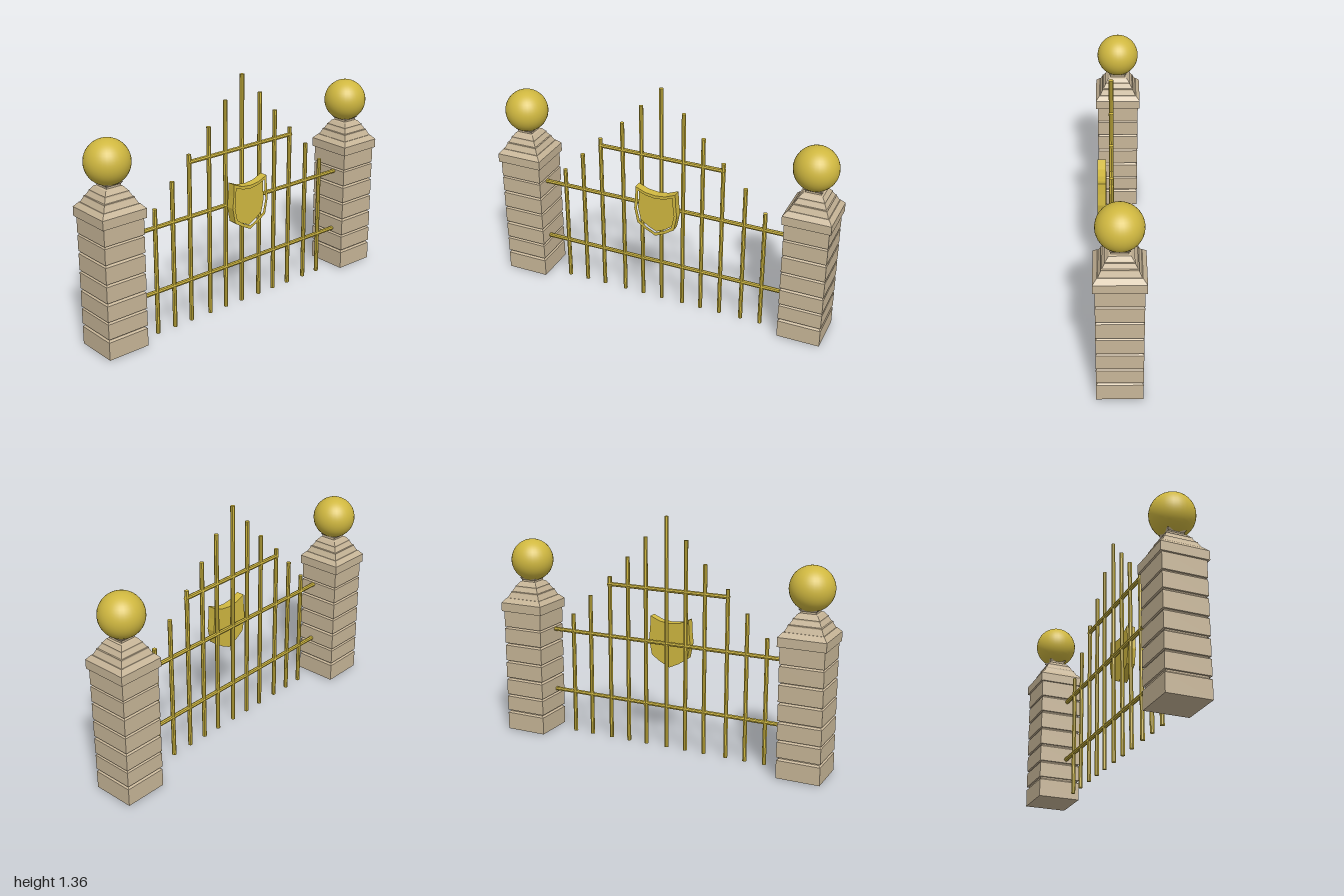
import * as THREE from 'three';

const stone = new THREE.MeshStandardMaterial({ color: 0xc8b698, flatShading: true });
const gold = new THREE.MeshStandardMaterial({ color: 0xd0b840 });
const goldFlat = new THREE.MeshStandardMaterial({ color: 0xd0b840, flatShading: true });

const GATE_Z = 0.04;
const BAR_RADIUS = 0.0125;

function addMesh(parent, name, geometry, material, x = 0, y = 0, z = 0) {
  const mesh = new THREE.Mesh(geometry, material);
  mesh.name = name;
  mesh.position.set(x, y, z);
  parent.add(mesh);
  return mesh;
}

// Square tower from [half width, height] pairs, turned in four segments
function squareLathe(profile) {
  const points = profile.map(([h, y]) => new THREE.Vector2(h * Math.SQRT2, y));
  return new THREE.LatheGeometry(points, 4, Math.PI / 4);
}

function createPillar(name, x, ballX) {
  const pillar = new THREE.Group();
  pillar.name = name;

  // Stacked blocks, each with a bevelled top edge and a shallow joint
  const profile = [[0, 0.005], [0.124, 0.005]];
  for (const [top, next] of [[0.108, 0.126], [0.213, 0.227], [0.318, 0.334],
    [0.426, 0.44], [0.534, 0.549], [0.638, 0.65]]) {
    profile.push([0.124, top], [0.113, top + 0.009], [0.113, next], [0.124, next]);
  }
  profile.push([0.124, 0.747], [0, 0.747]);
  addMesh(pillar, 'pillarBlocks', squareLathe(profile), stone, x);

  // Overhanging stepped cap
  const cap = [[0, 0.745], [0.135, 0.745], [0.135, 0.797], [0.112, 0.823],
    [0.108, 0.823], [0.094, 0.852], [0.094, 0.859], [0.088, 0.861], [0.074, 0.885],
    [0.074, 0.892], [0.07, 0.894], [0.055, 0.914], [0.044, 0.918], [0.044, 0.928],
    [0.053, 0.94], [0, 0.94]];
  addMesh(pillar, 'pillarCap', squareLathe(cap), stone, x);

  addMesh(pillar, 'ballFinial', new THREE.SphereGeometry(0.123, 32, 24), gold, ballX, 1.045, 0);
  return pillar;
}

function createGate() {
  const gate = new THREE.Group();
  gate.name = 'gate';

  // Upright bars rising in steps to the middle
  const barX = [-0.612, -0.494, -0.377, -0.24, -0.123, -0.003, 0.128, 0.243, 0.361, 0.492, 0.61];
  barX.forEach((x, i) => {
    const height = 1.357 - 0.125 * Math.abs(i - 5);
    const bar = new THREE.CylinderGeometry(BAR_RADIUS, BAR_RADIUS, height, 8);
    addMesh(gate, 'uprightBar', bar, goldFlat, x, height / 2, GATE_Z);
  });

  // Horizontal rails
  for (const [y, left, right] of [[0.25, -0.76, 0.76], [0.626, -0.76, 0.76], [0.938, -0.386, 0.372]]) {
    const rail = new THREE.CylinderGeometry(BAR_RADIUS, BAR_RADIUS, right - left, 8);
    rail.rotateZ(Math.PI / 2);
    addMesh(gate, 'rail', rail, goldFlat, (left + right) / 2, y, GATE_Z);
  }
  return gate;
}

// Closed outline from the right half, listed from top centre to bottom point
function mirroredOutline(half) {
  const left = half.slice(1, -1).reverse().map(([x, y]) => [-x, y]);
  return [...half, ...left].map(([x, y]) => new THREE.Vector2(x, y));
}

function createShield() {
  const shield = new THREE.Group();
  shield.name = 'shield';
  const outer = mirroredOutline([[0, 0.738], [0.06, 0.745], [0.12, 0.77], [0.123, 0.7],
    [0.13, 0.63], [0.112, 0.54], [0.06, 0.505], [0, 0.476]]);
  const inner = mirroredOutline([[0, 0.719], [0.056, 0.727], [0.105, 0.746], [0.106, 0.69],
    [0.113, 0.63], [0.096, 0.553], [0.053, 0.522], [0, 0.496]]);

  // Raised rim
  const rimShape = new THREE.Shape(outer);
  rimShape.holes.push(new THREE.Path(inner));
  const rim = new THREE.ExtrudeGeometry(rimShape, { depth: 0.048, bevelEnabled: false });
  addMesh(shield, 'shieldRim', rim, goldFlat, -0.007, 0, 0.07);

  // Recessed face
  const face = new THREE.ExtrudeGeometry(new THREE.Shape(inner), { depth: 0.034, bevelEnabled: false });
  addMesh(shield, 'shieldFace', face, goldFlat, -0.007, 0, 0.07);
  return shield;
}

export function createModel() {
  const model = new THREE.Group();
  model.name = 'gateway';
  model.add(
    createPillar('rightPillar', -0.865, -0.868),
    createPillar('leftPillar', 0.864, 0.859),
    createGate(),
    createShield(),
  );
  return model;
}
